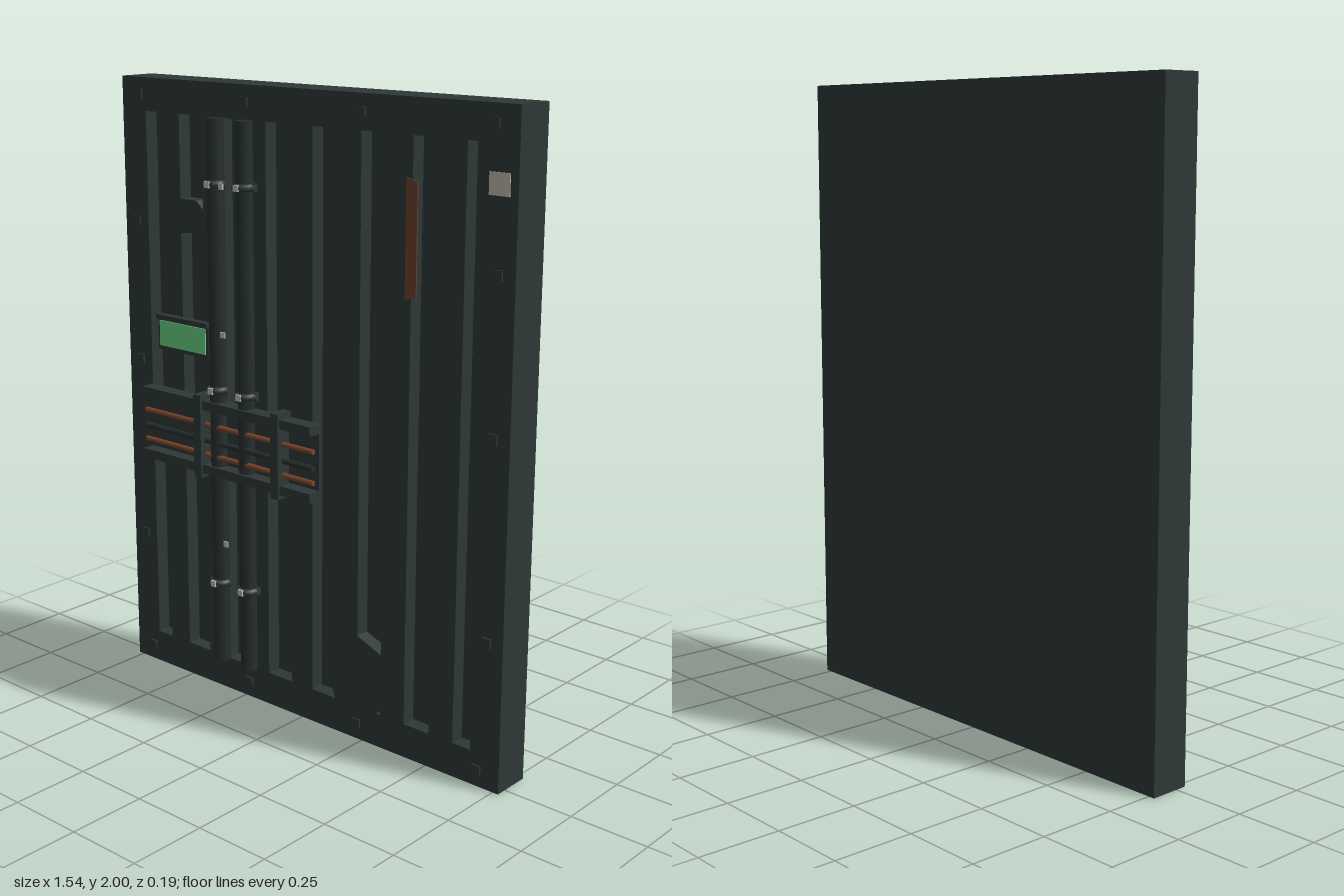
import * as THREE from 'three';

const mat = (name, color) => {
  const m = new THREE.MeshStandardMaterial({ color });
  m.name = name;
  return m;
};

export function createModel() {
  const group = new THREE.Group();
  const steel = mat('dark steel', 0x2e3837);
  const pipeSteel = mat('pipe steel', 0x262e2e);
  const copper = mat('copper cable', 0x7c452c);
  const rust = mat('rust', 0x6c3f2d);
  const green = mat('green screen', 0x6bd083);
  const pale = mat('pale label', 0xbfb7a8);
  const silver = mat('silver', 0xb9bab4);

  const add = (name, geo, material, x = 0, y = 0, z = 0) => {
    const m = new THREE.Mesh(geo, material);
    m.name = name;
    m.position.set(x, y, z);
    group.add(m);
    return m;
  };
  // Box given by its limits
  const box = (name, material, x0, x1, y0, y1, z0, z1) =>
    add(name, new THREE.BoxGeometry(x1 - x0, y1 - y0, z1 - z0), material,
      (x0 + x1) / 2, (y0 + y1) / 2, (z0 + z1) / 2);
  const polygon = (pts) => pts.map(([x, y]) => new THREE.Vector2(x, y));

  const W = 0.77, FRONT = 0.035, FLOOR = -0.012, BACK = -0.094;
  const LO = 0.11, HI = 1.895;

  // Slab behind the grooves
  box('panelBack', steel, -W, W, 0, 2, BACK, FLOOR);

  // Front sheet with full-height and damaged grooves cut out
  const face = new THREE.Shape(polygon([[-W, 0], [W, 0], [W, 2], [-W, 2]]));
  const grooves = [[-0.665, -0.6], [-0.33, -0.235], [-0.145, -0.045], [0.415, 0.51], [0.6, 0.665]]
    .map(([a, b]) => [[a, LO], [b, LO], [b, HI], [a, HI]]);
  grooves.push(
    [[-0.515, LO], [-0.415, LO], [-0.415, 1.53], [-0.515, 1.52]],
    [[-0.515, 1.63], [-0.445, 1.63], [-0.415, 1.605], [-0.415, HI], [-0.515, HI]],
    [[0.043, LO], [0.14, LO], [0.08, 0.27], [0.14, 0.312], [0.14, HI], [0.043, HI]],
    [[0.228, 0.348], [0.322, 0.31], [0.322, HI], [0.228, HI]],
    [[0.305, LO], [0.322, LO], [0.322, 0.122]],
  );
  for (const g of grooves) face.holes.push(new THREE.Path(polygon(g).reverse()));
  add('groovedFront', new THREE.ExtrudeGeometry(face, { depth: FRONT - FLOOR, bevelEnabled: false }),
    steel, 0, 0, FLOOR);

  // Square bolts around the border
  const bolt = (x, y) => box('bolt', steel, x - 0.015, x + 0.015, y - 0.015, y + 0.015, FRONT - 0.005, 0.041);
  for (const x of [-0.693, -0.232, 0.228, 0.69]) for (const y of [0.053, 1.948]) bolt(x, y);
  for (const x of [-0.716, 0.713]) for (const y of [0.465, 1.078, 1.54]) bolt(x, y);

  // Two vertical pipes with ring clamps and bright studs
  for (const x of [-0.341, -0.218]) {
    const pipe = new THREE.CylinderGeometry(0.028, 0.028, HI - LO, 10);
    add('pipe', pipe, pipeSteel, x, (HI + LO) / 2, 0.052);
    for (const y of [0.387, 1.04, 1.695]) {
      const ring = new THREE.TorusGeometry(0.028, 0.012, 8, 16);
      ring.rotateX(Math.PI / 2);
      add('pipeClamp', ring, steel, x, y, 0.052);
      box('clampFoot', steel, x - 0.038, x + 0.038, y - 0.012, y + 0.012, FRONT, 0.05);
      box('clampStud', silver, x - 0.01, x + 0.01, y - 0.01, y + 0.01, 0.086, 0.093);
    }
  }
  // Small studs between the pipes
  for (const y of [0.54, 1.232, 1.695])
    box('middleStud', silver, -0.288, -0.27, y - 0.009, y + 0.009, 0.089, 0.095);

  // Cable tray: back plate, rails, cables and straps
  const X0 = -0.663, X1 = 0.076;
  box('trayBack', steel, X0, X1, 0.757, 1, FRONT, 0.042);
  box('trayTopRail', steel, X0, X1, 0.97, 1, FRONT, 0.086);
  box('trayBottomRail', steel, X0, X1, 0.757, 0.787, FRONT, 0.086);
  for (const [y, m, r] of [[0.918, copper, 0.009], [0.865, pipeSteel, 0.01], [0.818, copper, 0.009]]) {
    const cable = new THREE.CylinderGeometry(r, r, X1 - X0, 8);
    cable.rotateZ(Math.PI / 2);
    add('trayCable', cable, m, (X0 + X1) / 2, y, 0.068);
  }
  for (const x of [-0.4, -0.064])
    box('trayStrap', steel, x - 0.016, x + 0.016, 0.742, 1.018, FRONT, 0.094);

  // Lit display in a shallow housing
  box('displayHousing', steel, -0.615, -0.385, 1.13, 1.247, FRONT, 0.05);
  box('displayHood', steel, -0.615, -0.385, 1.232, 1.247, FRONT, 0.06);
  box('displayScreen', green, -0.605, -0.397, 1.143, 1.227, 0.05, 0.054);

  // Rust streak and label plate
  const streak = new THREE.Shape(polygon([[0.395, 1.43], [0.435, 1.44], [0.435, 1.768], [0.395, 1.777]]));
  add('rustStreak', new THREE.ExtrudeGeometry(streak, { depth: 0.004, bevelEnabled: false }), rust, 0, 0, FRONT);
  box('labelPlate', pale, 0.675, 0.743, 1.755, 1.818, FRONT, 0.038);

  return group;
}
